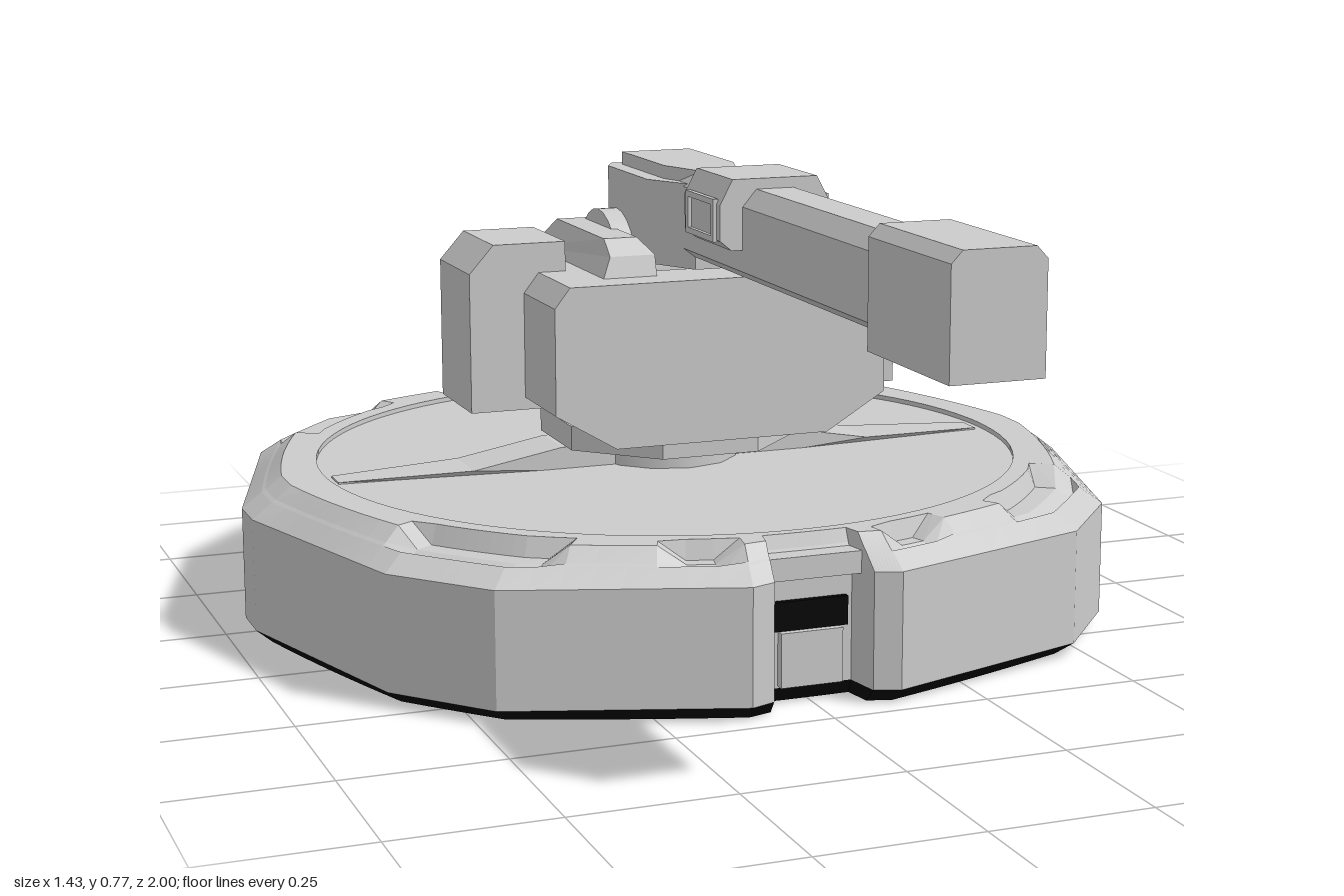
import * as THREE from 'three';

const steel = new THREE.MeshStandardMaterial({ color: 0xcccccc });
steel.name = 'light grey steel';
const black = new THREE.MeshStandardMaterial({ color: 0x050505 });
black.name = 'black';

const CZ = -0.22; // centre of the round base along z

function shapeOf(pts) {
  return new THREE.Shape(pts.map(([x, y]) => new THREE.Vector2(x, y)));
}
// profile in (x, y), running from z0 to z1
function alongZ(pts, z0, z1) {
  const g = new THREE.ExtrudeGeometry(shapeOf(pts), { depth: z1 - z0, bevelEnabled: false });
  return g.translate(0, 0, z0);
}
// profile in (z, y), running from x0 to x1
function alongX(pts, x0, x1) {
  const g = new THREE.ExtrudeGeometry(shapeOf(pts), { depth: x1 - x0, bevelEnabled: false });
  return g.rotateY(-Math.PI / 2).translate(x1, 0, 0);
}
// profile in (x, z), running from y0 to y1
function alongY(pts, y0, y1) {
  const g = new THREE.ExtrudeGeometry(shapeOf(pts.map(([x, z]) => [x, -z])), { depth: y1 - y0, bevelEnabled: false });
  return g.rotateX(-Math.PI / 2).translate(0, y0, 0);
}
function box(w, h, d, x, y, z) {
  return new THREE.BoxGeometry(w, h, d).translate(x, y, z);
}
// completes a right half profile with its mirror image
function mirrored(half) {
  return [...half, ...half.map(([x, y]) => [-x, y]).reverse()];
}
function add(parent, name, geometry, material = steel) {
  const m = new THREE.Mesh(geometry, material);
  m.name = name;
  parent.add(m);
  return m;
}

// base outline with a notch front and back, each edge subdivided
function baseOutline() {
  const half = [[0, 0.4], [0.07, 0.4], [0.08, 0.46], [0.12, 0.475], [0.475, 0.355], [0.6, 0.21], [0.715, -0.18],
    [0.715, -0.26], [0.6, -0.65], [0.475, -0.8], [0.12, -0.915], [0.08, -0.9], [0.07, -0.84], [0, -0.84]];
  const all = [...half, ...half.slice(1, -1).reverse().map(([x, z]) => [-x, z])];
  const out = [];
  all.forEach(([x, z], i) => {
    const [x2, z2] = all[(i + 1) % all.length];
    for (let k = 0; k < 8; k++) out.push([x + (x2 - x) * k / 8, z + (z2 - z) * k / 8]);
  });
  return out;
}
// ring of the base: t moves from the outline (0) to the inner circle (1)
function ring(outline, t, y, drop = 0) {
  return outline.map(([x, z]) => {
    const dz = z - CZ, r = Math.hypot(x, dz), s = 1 + (0.585 / r - 1) * t;
    const a = Math.atan2(Math.abs(x), Math.abs(dz)) * 180 / Math.PI;
    const pocket = (a > 33 && a < 56) || (a > 11 && a < 19);
    return [x * s, y - (pocket ? drop : 0), CZ + dz * s];
  });
}
function skin(rings, closeBottom = false) {
  const p = [], n = rings[0].length;
  for (let i = 0; i < n; i++) {
    const j = (i + 1) % n;
    for (let k = 0; k + 1 < rings.length; k++) {
      const a = rings[k], b = rings[k + 1];
      p.push(...a[i], ...a[j], ...b[j], ...a[i], ...b[j], ...b[i]);
    }
    if (closeBottom) p.push(0, rings[0][0][1], CZ, ...rings[0][j], ...rings[0][i]);
  }
  const g = new THREE.BufferGeometry();
  g.setAttribute('position', new THREE.Float32BufferAttribute(p, 3));
  g.computeVertexNormals();
  return g;
}

function makeBase() {
  const g = new THREE.Group();
  g.name = 'base';
  const o = baseOutline();
  add(g, 'underside', skin([ring(o, 0.2, 0), ring(o, 0, 0.022)], true), black);
  // wall, sloped shoulder with sunken pockets, and inner lip
  add(g, 'hull', skin([ring(o, 0, 0.022), ring(o, 0, 0.205), ring(o, 0.25, 0.23), ring(o, 0.3, 0.234, 0.025),
    ring(o, 0.5, 0.255, 0.03), ring(o, 0.72, 0.255, 0.03), ring(o, 0.8, 0.255), ring(o, 1, 0.255), ring(o, 1, 0.235)]));
  add(g, 'deck', new THREE.CylinderGeometry(0.59, 0.59, 0.02, 40).translate(0, 0.237, CZ));
  // blocks inside the front and back notches
  for (const z of [0.4, -0.84]) {
    add(g, 'notchShadow', box(0.12, 0.045, 0.02, 0, 0.135, z), black);
    add(g, 'notchPost', box(0.1, 0.085, 0.03, 0, 0.068, z));
    add(g, 'notchLip', box(0.2, 0.035, 0.05, 0, 0.212, z));
  }
  for (const s of [1, -1]) {
    // ridge rising to the pedestal, narrowed at its outer end
    const ridge = alongZ([[0.57, 0.235], [0.57, 0.25], [0.35, 0.256], [0.2, 0.283], [0.08, 0.283], [0.08, 0.235]], -0.05, 0.05);
    const pos = ridge.attributes.position;
    for (let i = 0; i < pos.count; i++) if (pos.getX(i) > 0.5) pos.setZ(i, pos.getZ(i) * 0.5);
    ridge.computeVertexNormals();
    if (s < 0) ridge.rotateY(Math.PI);
    add(g, 'deckRidge', ridge.translate(0, 0, CZ));
  }
  return g;
}

// exhaust box at the back, with a frame and wavy slats
function makeExhaust(side) {
  const g = new THREE.Group();
  g.name = side > 0 ? 'leftExhaust' : 'rightExhaust';
  const frame = shapeOf([[-0.18, 0.02], [0.18, 0.02], [0.18, 0.13], [0.165, 0.15], [-0.165, 0.15], [-0.18, 0.13]]);
  frame.holes.push(new THREE.Path([[-0.16, 0.035], [-0.16, 0.132], [0.16, 0.132], [0.16, 0.035]].map(([x, y]) => new THREE.Vector2(x, y))));
  add(g, 'frame', new THREE.ExtrudeGeometry(frame, { depth: 0.06, bevelEnabled: false }));
  add(g, 'housing', alongX([[0.05, 0.022], [0.2, 0.022], [0.2, 0.2], [0.14, 0.185], [0.05, 0.148]], -0.175, 0.175));
  add(g, 'darkBack', box(0.32, 0.1, 0.005, 0, 0.083, 0.046), black);
  for (const y of [0.058, 0.083, 0.108]) {
    const top = [], bottom = [];
    for (let i = 0; i <= 16; i++) {
      const x = -0.16 + i * 0.02, w = 0.004 * Math.sin(i * 1.3);
      top.push([x, y + 0.008 + w]);
      bottom.push([x, y - 0.006 + w]);
    }
    add(g, 'slat', alongZ([...bottom, ...top.reverse()], 0.005, 0.045));
  }
  g.position.set(side * 0.26, 0, -0.98);
  g.rotation.y = -side * 0.1;
  return g;
}

function makeTurret() {
  const g = new THREE.Group();
  g.name = 'turret';
  add(g, 'pedestal', new THREE.CylinderGeometry(0.12, 0.12, 0.06, 12).toNonIndexed().translate(0, 0.265, CZ));
  const collar = new THREE.CylinderGeometry(0.215, 0.215, 0.04, 8).rotateY(Math.PI / 8).toNonIndexed();
  collar.computeVertexNormals();
  add(g, 'collar', collar.translate(0, 0.308, CZ + 0.015));

  // main block, open on top between its front and back walls
  const side = [[0.18, 0.325], [0.28, 0.385], [0.28, 0.555], [0.255, 0.587]];
  const solid = mirrored(side);
  const open = mirrored([...side, [0.12, 0.587], [0.12, 0.48]]);
  add(g, 'blockFront', alongZ(solid, -0.06, 0.05));
  add(g, 'blockMiddle', alongZ(open, -0.49, -0.06));
  add(g, 'blockBack', alongZ(solid, -0.53, -0.49));
  add(g, 'pocketRamp', alongX([[-0.49, 0.48], [-0.3, 0.48], [-0.49, 0.56]], -0.12, 0.12));
  add(g, 'trunnion', new THREE.CylinderGeometry(0.1, 0.1, 0.24, 24).rotateZ(Math.PI / 2).translate(0, 0.57, -0.21));

  for (const s of [1, -1]) {
    const flip = (pts) => (s > 0 ? pts : pts.map(([x, y]) => [-x, y]).reverse());
    // cradle cheeks beside the breech
    const cheek = alongX([[-0.39, 0.585], [-0.01, 0.585], [-0.02, 0.62], [-0.05, 0.645], [-0.29, 0.645]], 0.09, 0.18);
    const p = cheek.attributes.position;
    for (let i = 0; i < p.count; i++) {
      if (p.getY(i) > 0.6 && p.getX(i) > 0.15) p.setX(i, 0.165);
      if (p.getY(i) > 0.64 && p.getX(i) < 0.1) p.setX(i, 0.11);
      if (s < 0) p.setX(i, p.getX(i) - 0.27);
    }
    if (s < 0) for (let i = 0; i < p.count; i++) {
      const x = p.getX(i); // reshape the shifted cheek into a mirror of the other one
      p.setX(i, p.getY(i) > 0.64 ? (x < -0.13 ? -0.165 : -0.11) : x < -0.13 ? (p.getY(i) > 0.6 ? -0.165 : -0.18) : -0.09);
    }
    cheek.computeVertexNormals();
    add(g, 'cheek', cheek);
    // shoulder boxes
    add(g, 'shoulder', alongZ(flip([[0.21, 0.365], [0.37, 0.365], [0.37, 0.59], [0.33, 0.635], [0.21, 0.635]]), -0.28, -0.11));
    const brace = alongX([[-0.28, 0.37], [-0.28, 0.56], [-0.36, 0.53], [-0.36, 0.41]], 0.27, 0.335);
    add(g, 'shoulderBrace', brace.translate(s > 0 ? 0 : -0.605, 0, 0));
  }
  return g;
}

function makeGun() {
  const g = new THREE.Group();
  g.name = 'gun';
  add(g, 'barrel', alongZ(mirrored([[0.04, 0.62], [0.052, 0.632], [0.052, 0.73], [0.03, 0.756]]), -0.03, 0.76));
  add(g, 'muzzle', alongZ(mirrored([[0.068, 0.6], [0.068, 0.755], [0.052, 0.772]]), 0.75, 1));
  add(g, 'clamp', alongZ(mirrored([[0.07, 0.665], [0.088, 0.68], [0.088, 0.735], [0.068, 0.772]]), 0.11, 0.26));
  for (const s of [1, -1]) {
    const frame = shapeOf([[0.13, 0.677], [0.245, 0.677], [0.245, 0.742], [0.13, 0.742]]);
    frame.holes.push(new THREE.Path([[0.14, 0.686], [0.14, 0.733], [0.235, 0.733], [0.235, 0.686]].map(([x, y]) => new THREE.Vector2(x, y))));
    const geo = new THREE.ExtrudeGeometry(frame, { depth: 0.008, bevelEnabled: false });
    add(g, 'clampFrame', geo.rotateY(-Math.PI / 2).translate(s > 0 ? 0.094 : -0.086, 0, 0));
  }
  // breech, tapering into the barrel
  const plan = mirrored([[0.04, 0.03], [0.088, -0.06], [0.088, -0.25], [0.07, -0.285]]);
  add(g, 'breech', alongY(plan, 0.6, 0.735));
  add(g, 'breechTop', alongY(mirrored([[0.03, 0.03], [0.06, -0.06], [0.06, -0.26]]), 0.735, 0.756));
  return g;
}

export function createModel() {
  const model = new THREE.Group();
  model.name = 'gunTurret';
  model.add(makeBase(), makeExhaust(1), makeExhaust(-1), makeTurret(), makeGun());
  return model;
}
